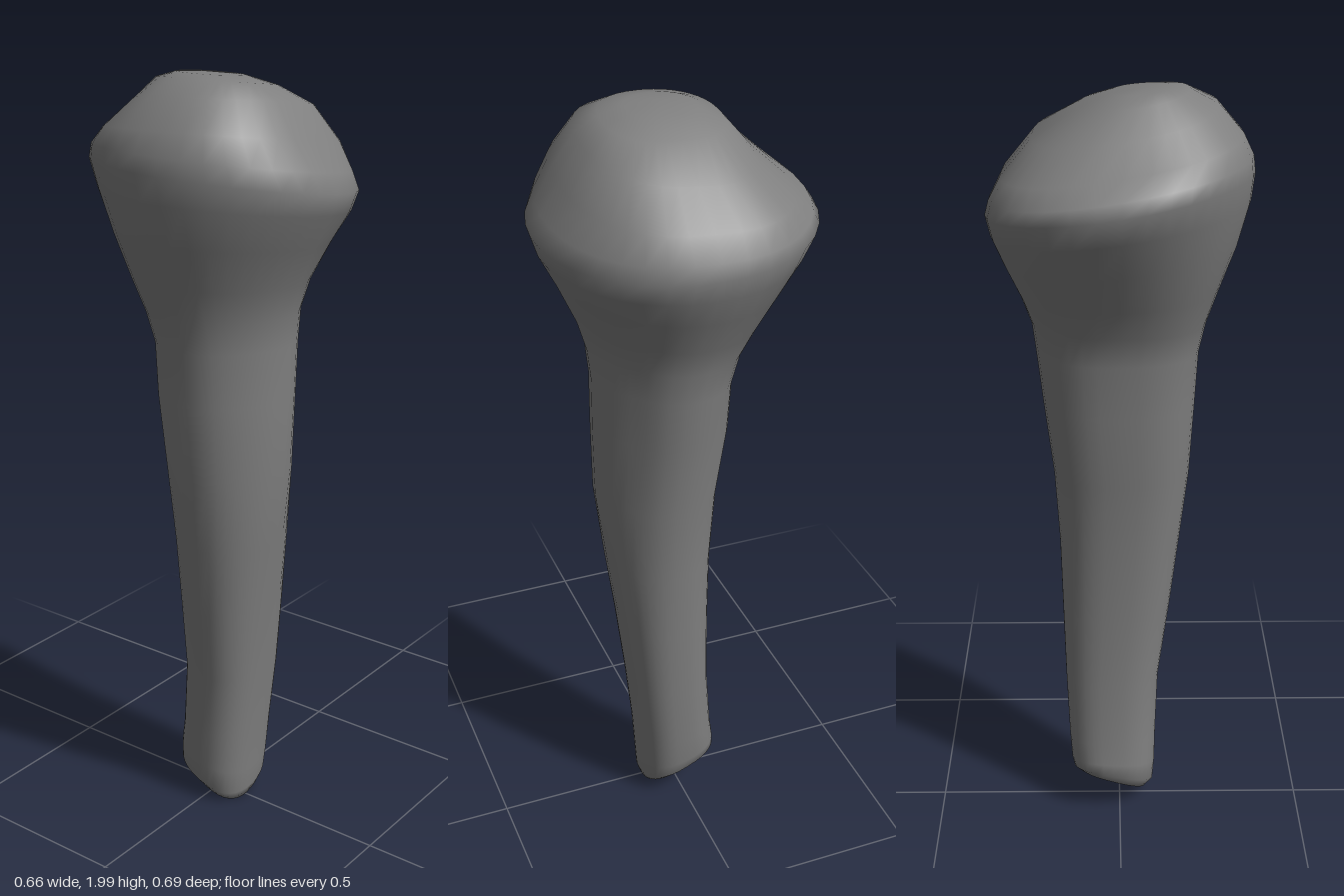
import * as THREE from 'three';

const { smoothstep, lerp } = THREE.MathUtils;
const SEGMENTS = 36;

// Cross-sections, bottom to top: height, slope along x, slope along z, x min, x max, z min, z max
const SECTIONS = [
  [0.052, 0.3, -0.45, -0.07, 0.105, -0.09, 0.092],
  [0.078, 0.2, -0.42, -0.093, 0.127, -0.11, 0.1],
  [0.13, 0.05, -0.3, -0.098, 0.134, -0.107, 0.104],
  [0.22, 0, 0, -0.1, 0.14, -0.098, 0.112],
  [0.4, 0, 0, -0.107, 0.148, -0.085, 0.13],
  [0.6, 0, 0, -0.135, 0.154, -0.085, 0.152],
  [0.8, 0, 0, -0.16, 0.16, -0.09, 0.18],
  [1.0, 0, 0, -0.184, 0.173, -0.105, 0.205],
  [1.2, 0, 0, -0.195, 0.197, -0.13, 0.21],
  [1.34, 0, 0, -0.203, 0.213, -0.134, 0.21],
  [1.42, 0, 0, -0.22, 0.222, -0.158, 0.217],
  [1.5, -0.03, 0, -0.25, 0.246, -0.2, 0.24],
  [1.6, -0.07, 0, -0.293, 0.285, -0.256, 0.285],
  [1.69, -0.12, -0.02, -0.323, 0.314, -0.312, 0.328],
  [1.75, -0.14, -0.04, -0.33, 0.325, -0.345, 0.345],
  [1.79, -0.15, -0.02, -0.325, 0.315, -0.322, 0.318],
  [1.845, -0.15, 0.03, -0.3, 0.285, -0.268, 0.272],
  [1.92, -0.15, 0.08, -0.24, 0.21, -0.19, 0.215],
  [1.97, -0.14, 0.02, -0.17, 0.1, -0.135, 0.155],
  [1.99, -0.08, 0, -0.125, 0.02, -0.08, 0.09],
];

// Rounded-square shaft with bevelled front corners, an oval rim and a squarer crown
function sectionPoint([y, slopeX, slopeZ, x0, x1, z0, z1], angle) {
  const head = smoothstep(y, 1.35, 1.75);
  const bevel = smoothstep(y, 0.4, 1.2) * (1 - head);
  const power = 2 / (lerp(2.5, 2, head) + 0.4 * smoothstep(y, 1.75, 1.85));
  const c = Math.cos(angle), s = Math.sin(angle);
  const corner = Math.abs(2 * c * s);
  const bulge = s < 0 ? 1 - 0.1 * head * c * s : 1 - bevel * corner * (c > 0 ? 0.19 : 0.12);
  const cx = (x0 + x1) / 2, cz = (z0 + z1) / 2;
  const x = cx + Math.sign(c) * Math.abs(c) ** power * bulge * (x1 - x0) / 2;
  const z = cz + Math.sign(s) * Math.abs(s) ** power * bulge * (z1 - z0) / 2;
  return [x, y + slopeX * x + slopeZ * z, z];
}

// Closed skin lofted through the cross-sections
function loft(sections, bottom, top) {
  const positions = [], index = [];
  for (const section of sections) {
    for (let j = 0; j < SEGMENTS; j++) {
      positions.push(...sectionPoint(section, (j / SEGMENTS) * Math.PI * 2));
    }
  }
  const last = (sections.length - 1) * SEGMENTS;
  const bottomId = last + SEGMENTS, topId = bottomId + 1;
  positions.push(...bottom, ...top);
  for (let j = 0; j < SEGMENTS; j++) {
    const k = (j + 1) % SEGMENTS;
    for (let row = 0; row < last; row += SEGMENTS) {
      const a = row + j, b = row + k;
      index.push(a, a + SEGMENTS, b, b, a + SEGMENTS, b + SEGMENTS);
    }
    index.push(bottomId, j, k, topId, last + k, last + j);
  }
  const geometry = new THREE.BufferGeometry();
  geometry.setAttribute('position', new THREE.Float32BufferAttribute(positions, 3));
  geometry.setIndex(index);
  geometry.computeVertexNormals();
  return geometry;
}

export function createModel() {
  const group = new THREE.Group();
  group.name = 'bone';

  // Tapered shaft flaring into a tilted, domed head, with a slanted lower end
  const bone = new THREE.Mesh(
    loft(SECTIONS, [0.01, 0.05, 0], [-0.07, 2, 0]),
    new THREE.MeshStandardMaterial({ color: 0x7f7f7f })
  );
  bone.name = 'shaftAndHead';
  group.add(bone);
  return group;
}
